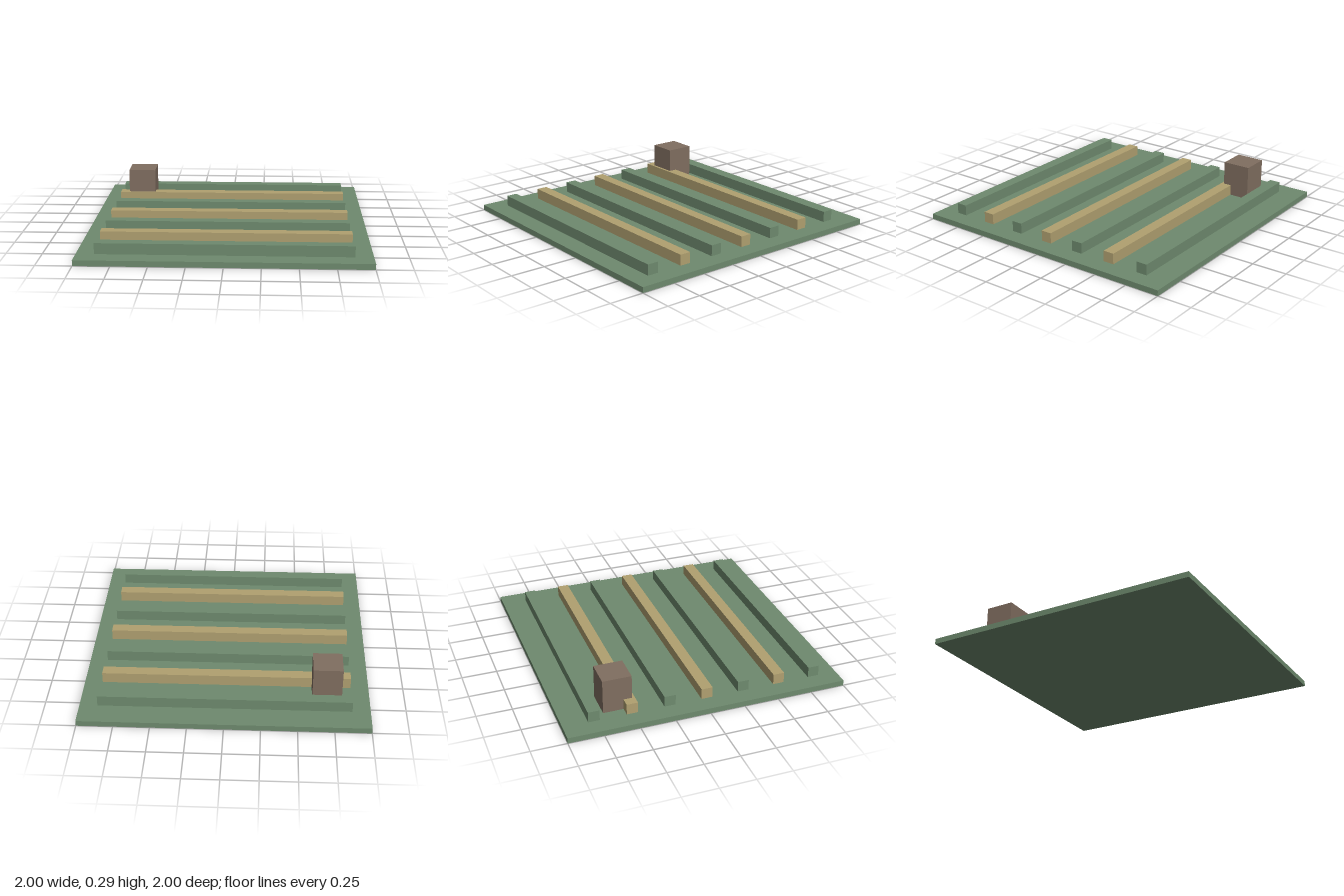
import * as THREE from 'three';

export function createModel() {
  const model = new THREE.Group();
  model.name = 'cropField';

  const green = new THREE.MeshStandardMaterial({ name: 'leafGreen', color: 0x6e8a6e });
  const tan = new THREE.MeshStandardMaterial({ name: 'strawTan', color: 0xb0a070 });
  const brown = new THREE.MeshStandardMaterial({ name: 'crateBrown', color: 0x806e60 });

  // Box resting on height y
  function addBox(name, material, w, h, d, x, y, z) {
    const mesh = new THREE.Mesh(new THREE.BoxGeometry(w, h, d), material);
    mesh.name = name;
    mesh.position.set(x, y + h / 2, z);
    model.add(mesh);
  }

  // Ground slab
  const top = 0.04;
  addBox('groundSlab', green, 2, top, 2, 0, 0, 0);

  // Seven planted rows, alternating in colour
  for (let i = 0; i < 7; i++) {
    const ripe = i % 2 === 1;
    addBox(ripe ? 'ripeRow' : 'greenRow', ripe ? tan : green,
      1.75, 0.077, 0.08, 0, top, 0.02 + (i - 3) * 0.268);
  }

  // Crate at the back right corner
  addBox('crate', brown, 0.205, 0.25, 0.205, -0.705, top, -0.598);

  return model;
}
